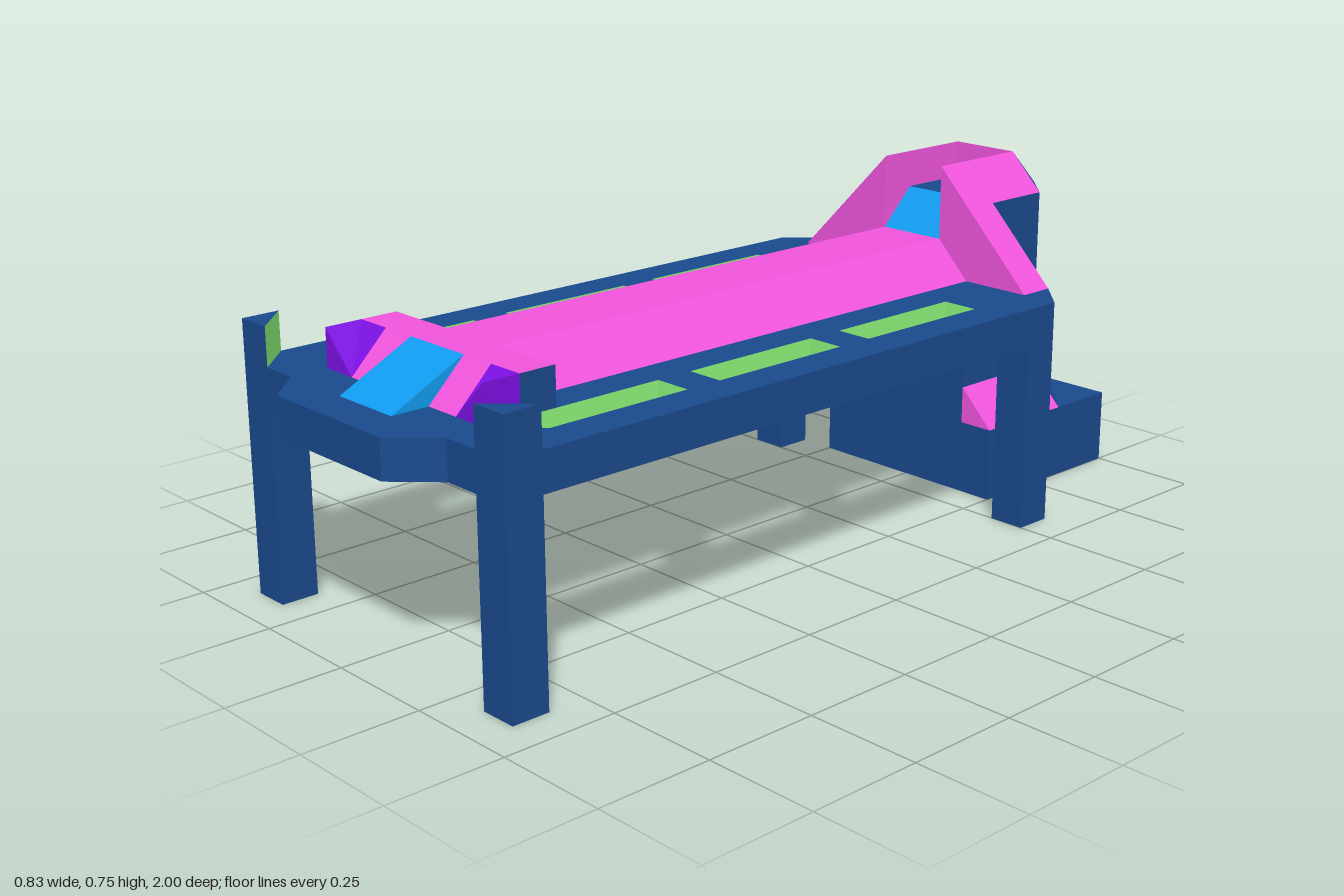
import * as THREE from 'three';

// All coordinates are on a grid of 1/12 unit.
const U = 1 / 12;
const COLORS = { blue: 0x19498c, pink: 0xf055dc, sky: 0x119cf0, purple: 0x7c10e2, green: 0x8ef57a };
const mats = {};
for (const [k, color] of Object.entries(COLORS)) {
  mats[k] = new THREE.MeshStandardMaterial({ color, flatShading: true, side: THREE.DoubleSide });
}

// Mesh from flat polygons (fans); mirror adds the copy across x = 0.
function panels(parent, name, color, polys, mirror = false) {
  const all = mirror
    ? polys.concat(polys.map(p => p.map(([x, y, z]) => [-x, y, z]).reverse()))
    : polys;
  const pos = [];
  for (const p of all) {
    // start the fan at the same corner on both sides
    const q = mirror && p[0][0] < 0 ? [p[p.length - 1], ...p.slice(0, -1)] : p;
    for (let i = 1; i < q.length - 1; i++) {
      for (const v of [q[0], q[i], q[i + 1]]) pos.push(v[0] * U, v[1] * U, v[2] * U);
    }
  }
  const g = new THREE.BufferGeometry();
  g.setAttribute('position', new THREE.Float32BufferAttribute(pos, 3));
  g.computeVertexNormals();
  const m = new THREE.Mesh(g, mats[color]);
  m.name = name;
  parent.add(m);
}

function box(parent, name, x0, x1, y0, y1, z0, z1) {
  const m = new THREE.Mesh(new THREE.BoxGeometry((x1 - x0) * U, (y1 - y0) * U, (z1 - z0) * U), mats.blue);
  m.position.set((x0 + x1) / 2 * U, (y0 + y1) / 2 * U, (z0 + z1) / 2 * U);
  m.name = name;
  parent.add(m);
}

function part(root, name) {
  const g = new THREE.Group();
  g.name = name;
  root.add(g);
  return g;
}

// Vertical walls around a closed x-z loop
const walls = (loop, y0, y1) => loop.map(([x, z], i) => {
  const [a, b] = loop[(i + 1) % loop.length];
  return [[x, y0, z], [a, y0, b], [a, y1, b], [x, y1, z]];
});

export function createModel() {
  const root = new THREE.Group();
  root.name = 'model';

  // Deck with six slots
  const deck = part(root, 'deck');
  const outline = [[-3, 11], [-2, 12], [2, 12], [3, 11], [5, 11], [5, -7], [4, -8], [-4, -8], [-5, -7], [-5, 11]];
  const slots = [];
  for (const s of [1, -1]) {
    for (const [a, b, c] of [[-5, -1, -1], [0, 4, 4], [5, 10, 9]]) {
      slots.push([[3 * s, a], [4 * s, a], [4 * s, c], [3 * s, b]]);
    }
  }
  const flat = loop => loop.map(([x, z]) => new THREE.Vector2(x * U, -z * U));
  const shape = new THREE.Shape(flat(outline));
  shape.holes = slots.map(s => new THREE.Path(flat(s)));
  for (const [name, y, turn] of [['deckTop', 6, -1], ['deckUnderside', 5, -1]]) {
    const g = new THREE.ShapeGeometry(shape).rotateX(turn * Math.PI / 2).translate(0, y * U, 0);
    const m = new THREE.Mesh(g, mats.blue);
    m.name = name;
    deck.add(m);
  }
  panels(deck, 'deckEdge', 'blue', walls(outline, 5, 6));
  panels(deck, 'slotWalls', 'green', slots.flatMap(s => walls(s, 5, 6)));

  // Legs, and wedge posts over the front ones
  const legs = part(root, 'legs');
  for (const x of [-5, 4]) {
    box(legs, 'frontLeg', x, x + 1, 0, 5, 10, 11);
    box(legs, 'backLeg', x, x + 1, 0, 5, -7, -6);
  }
  panels(legs, 'cornerPost', 'blue', [
    [[4, 7, 11], [5, 7, 11], [5, 7, 10]],
    [[4, 6, 11], [5, 6, 11], [5, 7, 11], [4, 7, 11]],
    [[5, 6, 11], [5, 6, 10], [5, 7, 10], [5, 7, 11]],
  ], true);
  panels(legs, 'cornerPostInside', 'green', [[[5, 6, 10], [4, 6, 11], [4, 7, 11], [5, 7, 10]]], true);

  // Long ridge
  const ridge = part(root, 'ridge');
  panels(ridge, 'ridgeSides', 'pink', [[[2, 6, 8], [2, 6, -7], [1, 7, -7], [1, 7, 8]]], true);
  panels(ridge, 'ridgeTop', 'pink', [[[-1, 7, 8], [1, 7, 8], [1, 7, -7], [-1, 7, -7]]]);

  // Crossbar at the front with sloped face, inside corners and ramp
  const bar = part(root, 'crossbar');
  panels(bar, 'crossbarTop', 'pink', [[[-3, 7, 9], [3, 7, 9], [3, 7, 8], [-3, 7, 8]]]);
  panels(bar, 'crossbarSides', 'blue', [
    [[3, 6, 8], [1, 6, 8], [1, 7, 8], [3, 7, 8]],
    [[3, 6, 9], [3, 6, 8], [3, 7, 8], [3, 7, 9]],
  ], true);
  panels(bar, 'crossbarSlope', 'pink', [[[1, 6, 10], [2, 6, 10], [2, 7, 9], [1, 7, 9]]], true);
  panels(bar, 'crossbarCorner', 'purple', [
    [[2, 6, 10], [3, 7, 9], [2, 7, 9]],
    [[2, 6, 10], [3, 7, 10], [3, 7, 9]],
    [[2, 6, 10], [3, 6, 10], [3, 7, 10]],
    [[3, 6, 10], [3, 6, 9], [3, 7, 9], [3, 7, 10]],
  ], true);
  panels(bar, 'ramp', 'sky', [[[-1, 6, 11], [1, 6, 11], [1, 7, 9], [-1, 7, 9]]]);
  panels(bar, 'rampSides', 'sky', [[[1, 6, 11], [1, 6, 9], [1, 7, 9]]], true);

  // Tower base with sloped shoulders
  const base = part(root, 'towerBase');
  box(base, 'plinth', -3, 3, 0, 2, -12, -7);
  panels(base, 'sideShoulder', 'pink', [
    [[3, 2, -7], [3, 2, -10], [2, 3, -10], [2, 3, -7]],
    [[2, 2, -7], [3, 2, -7], [2, 3, -7]],
  ], true);
  panels(base, 'cornerShoulder', 'blue', [[[3, 2, -10], [1, 2, -12], [1, 3, -11], [2, 3, -10]]], true);
  panels(base, 'backShoulder', 'pink', [[[1, 2, -12], [-1, 2, -12], [-1, 3, -11], [1, 3, -11]]]);

  // Tower body
  const tower = part(root, 'tower');
  panels(tower, 'towerFront', 'blue', [[[-2, 2, -7], [2, 2, -7], [2, 6, -7], [-2, 6, -7]]]);
  panels(tower, 'towerSides', 'blue', [
    [[2, 3, -7], [2, 3, -10], [2, 8, -10], [2, 8, -7]],
    [[2, 3, -10], [1, 3, -11], [1, 8, -11], [2, 8, -10]],
    [[2, 8, -10], [1, 8, -11], [1, 9, -10]],
  ], true);
  panels(tower, 'towerBack', 'pink', [
    [[1, 3, -11], [-1, 3, -11], [-1, 8, -11], [1, 8, -11]],
    [[1, 8, -11], [-1, 8, -11], [-1, 9, -10], [1, 9, -10]],
  ]);

  // Hood with side buttresses around an open recess
  const hood = part(root, 'hood');
  panels(hood, 'hoodSides', 'pink', [
    [[1, 9, -8], [2, 8, -8], [2, 8, -10], [1, 9, -10]],
    [[1, 9, -7], [4, 6, -7], [4, 6, -8], [1, 9, -8]],
    [[1, 6, -7], [4, 6, -7], [1, 9, -7]],
    [[4, 6, -8], [2, 6, -8], [2, 8, -8]],
    [[1, 9, -7], [1, 9, -10], [1, 8, -10], [1, 8, -8], [1, 7, -7]],
  ], true);
  panels(hood, 'recessBack', 'pink', [[[-1, 8, -10], [1, 8, -10], [1, 9, -10], [-1, 9, -10]]]);
  panels(hood, 'recessFloor', 'blue', [[[-1, 8, -8], [1, 8, -8], [1, 8, -10], [-1, 8, -10]]]);
  panels(hood, 'recessRamp', 'sky', [[[-1, 7, -7], [1, 7, -7], [1, 8, -8], [-1, 8, -8]]]);

  return root;
}
